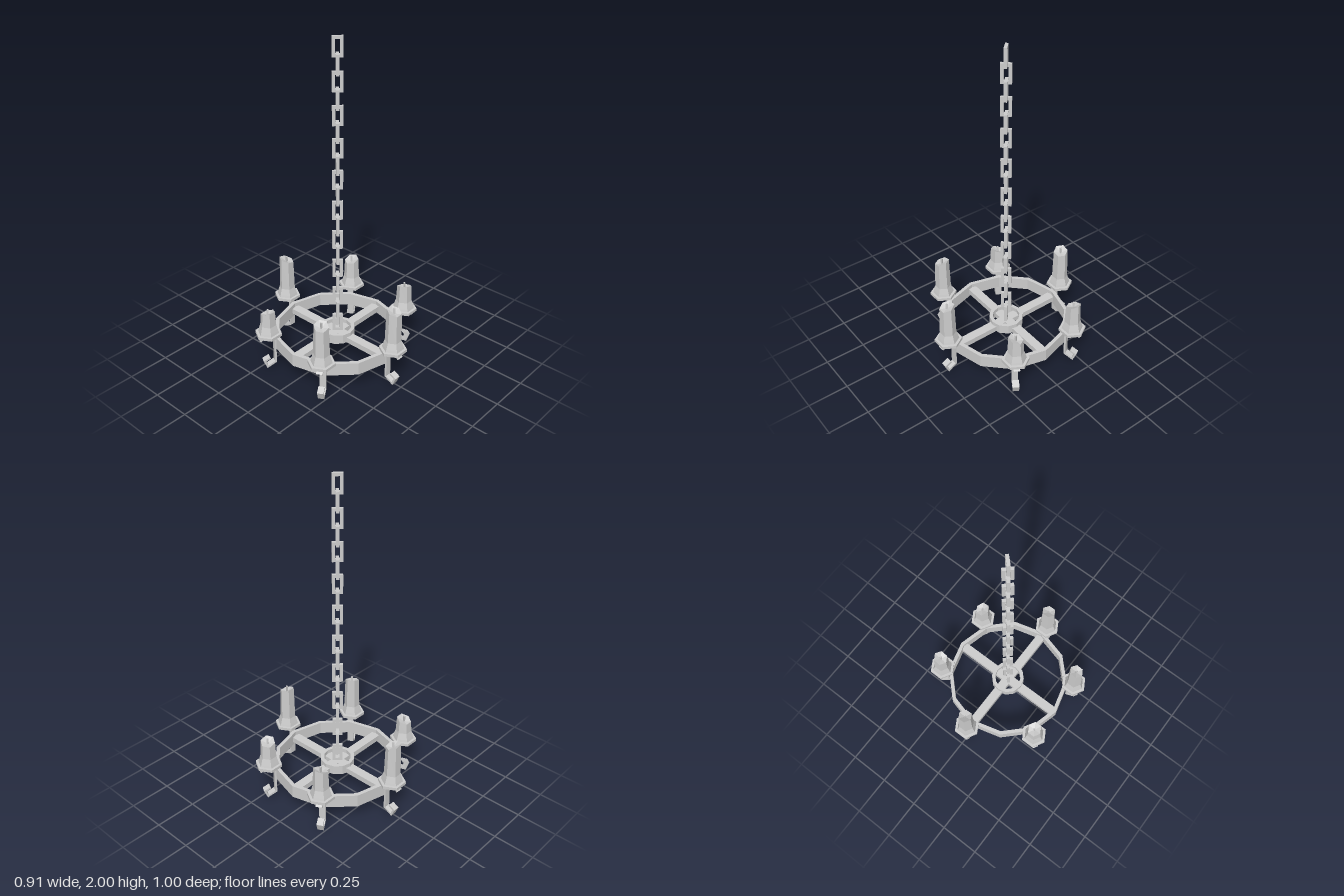
import * as THREE from 'three';

const material = new THREE.MeshStandardMaterial({ color: 0xcccccc, flatShading: true, side: THREE.DoubleSide });

function part(geometry, name, parent) {
  const mesh = new THREE.Mesh(geometry, material);
  mesh.name = name;
  parent.add(mesh);
  return mesh;
}

// Twelve-sided band with a rectangular section
function band(inner, outer, bottom, top) {
  const section = [[outer, bottom], [outer, top], [inner, top], [inner, bottom], [outer, bottom]];
  return new THREE.LatheGeometry(section.map(p => new THREE.Vector2(...p)), 12);
}

// Flat bar bent along a polyline in the radial plane, x of the path running to +z
function bentStrip(path, thickness, width) {
  const pts = path.map(p => new THREE.Vector2(...p));
  const normal = (a, b) => new THREE.Vector2(a.y - b.y, b.x - a.x).normalize();
  const offsets = pts.map((p, i) => {
    const before = normal(pts[Math.max(i - 1, 0)], pts[Math.max(i, 1)]);
    const after = normal(pts[Math.min(i, pts.length - 2)], pts[Math.min(i + 1, pts.length - 1)]);
    const mitre = before.clone().add(after).normalize();
    return mitre.multiplyScalar(thickness / 2 / mitre.dot(before));
  });
  const left = pts.map((p, i) => p.clone().add(offsets[i]));
  const right = pts.map((p, i) => p.clone().sub(offsets[i])).reverse();
  const geometry = new THREE.ExtrudeGeometry(new THREE.Shape([...left, ...right]), { depth: width, bevelEnabled: false });
  return geometry.translate(0, 0, -width / 2).rotateY(-Math.PI / 2);
}

// Six-sided candle with a flared foot, a slanted rim and a melted hollow
function candleGeometry(height, slant, direction) {
  const profile = [[0.065, 0.25], [0.061, 0.265], [0.049, 0.305], [0.044, height], [0, height - 0.03]];
  const geometry = new THREE.LatheGeometry(profile.map(p => new THREE.Vector2(...p)), 6, Math.PI / 6);
  const pos = geometry.attributes.position;
  for (let i = 0; i < pos.count; i++) {
    const x = pos.getX(i), z = pos.getZ(i);
    if (Math.abs(pos.getY(i) - height) < 0.001) {
      pos.setY(i, height - slant + slant * Math.cos(Math.atan2(x, z) - direction));
    }
  }
  return geometry;
}

// Rectangular chain link, centred on the origin
function linkGeometry(width, height, bar) {
  const rect = (Type, w, h) => new Type([[-w, -h], [w, -h], [w, h], [-w, h]].map(([x, y]) => new THREE.Vector2(x / 2, y / 2)));
  const shape = rect(THREE.Shape, width, height);
  shape.holes.push(rect(THREE.Path, width - 2 * bar, height - 2 * bar));
  return new THREE.ExtrudeGeometry(shape, { depth: bar, bevelEnabled: false }).translate(0, 0, -bar / 2);
}

export function createModel() {
  const model = new THREE.Group();
  model.name = 'chandelier';

  // Wheel: rim, hub and crossed beams
  const wheel = new THREE.Group();
  wheel.name = 'wheel';
  model.add(wheel);
  part(band(0.367, 0.39, 0.12, 0.2), 'rim', wheel);
  part(band(0.083, 0.105, 0.14, 0.2), 'hub', wheel);
  for (const turn of [0, Math.PI / 2]) {
    const beam = part(new THREE.BoxGeometry(0.74, 0.035, 0.056), 'beam', wheel);
    beam.position.y = 0.158;
    beam.rotation.y = turn;
  }

  // Chain: links alternate between the two diagonals
  const chain = new THREE.Group();
  chain.name = 'chain';
  model.add(chain);
  const link = linkGeometry(0.062, 0.115, 0.018);
  for (let i = 0; i < 19; i++) {
    const mesh = part(link, 'chainLink', chain);
    mesh.position.y = 1.9425 - i * 0.095;
    mesh.rotation.y = (i % 2 ? 1 : -1) * Math.PI / 4;
  }

  // Six arms: hooked bracket, drip tray, candle and wick
  const bracket = bentStrip([[0.485, 0.2], [0.462, 0.225], [0.396, 0.225], [0.396, 0.037],
    [0.447, 0.009], [0.465, 0.052], [0.43, 0.07]], 0.012, 0.038);
  const tray = new THREE.CylinderGeometry(0.082, 0.082, 0.018, 6, 1, false, Math.PI / 6);
  const heights = [0.515, 0.42, 0.44, 0.515, 0.4, 0.505];
  heights.forEach((height, i) => {
    const arm = new THREE.Group();
    arm.name = 'candleArm';
    arm.rotation.y = i * Math.PI / 3;
    model.add(arm);
    part(bracket, 'bracket', arm);
    part(tray, 'dripTray', arm).position.set(0, 0.242, 0.43);
    part(candleGeometry(height, 0.015, Math.PI + i * 1.3), 'candle', arm).position.z = 0.43;
    const wick = part(new THREE.CylinderGeometry(0.008, 0.008, 0.045, 3), 'wick', arm);
    wick.position.set(0, height - 0.015, 0.43);
  });
  return model;
}
